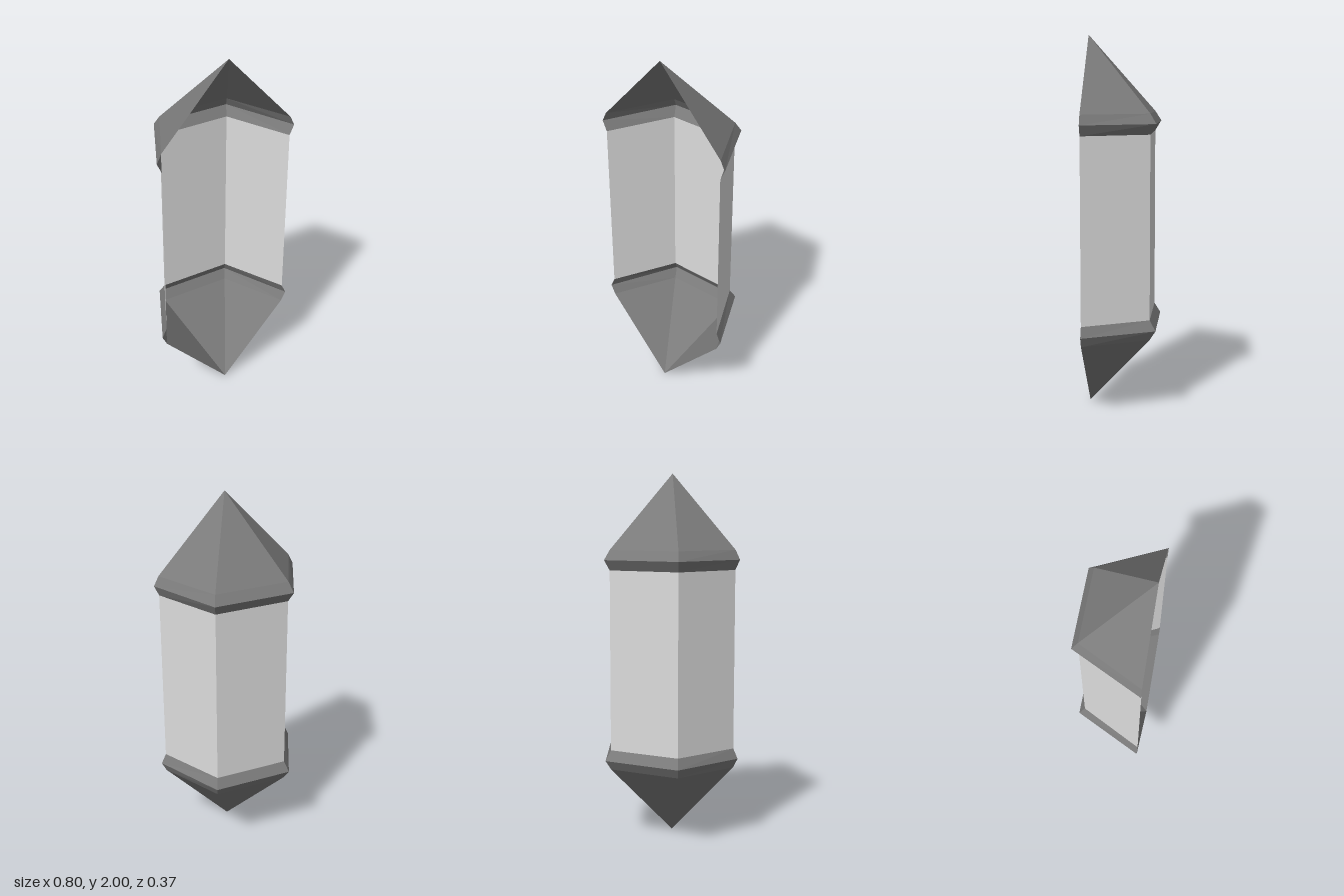
import * as THREE from 'three';

const FRONT = 0.187; // z of the open front edge

// One cross-section: half a hexagon, from the left front edge round the back
function ring(y, frontX, backX, backZ) {
  return [[frontX, y, FRONT], [backX, y, backZ], [-backX, y, backZ], [-frontX, y, FRONT]];
}
const wide = (y) => ring(y, 0.4, 0.218, -0.187);
const narrow = (y) => ring(y, 0.374, 0.202, -0.155);
const tip = (y) => ring(y, 0, 0, FRONT);

// Flat-sided open shell through a list of sections, bottom to top
function shell(name, sections, material) {
  const pos = [];
  const same = (p, q) => p.every((v, k) => v === q[k] || Math.abs(v - q[k]) < 1e-6);
  const tri = (a, b, c) => {
    if (!same(a, b) && !same(b, c) && !same(a, c)) pos.push(...a, ...b, ...c);
  };
  for (let s = 0; s < sections.length - 1; s++) {
    const lo = sections[s], hi = sections[s + 1];
    for (let i = 0; i < 3; i++) {
      tri(lo[i], lo[i + 1], hi[i + 1]);
      tri(lo[i], hi[i + 1], hi[i]);
    }
  }
  const geometry = new THREE.BufferGeometry();
  geometry.setAttribute('position', new THREE.Float32BufferAttribute(pos, 3));
  geometry.computeVertexNormals();
  const mesh = new THREE.Mesh(geometry, material);
  mesh.name = name;
  return mesh;
}

export function createModel() {
  const paleGrey = new THREE.MeshStandardMaterial({ color: 0xdcdcdc, side: THREE.DoubleSide, flatShading: true });
  paleGrey.name = 'pale grey';
  const darkGrey = new THREE.MeshStandardMaterial({ color: 0x7b7b7b, side: THREE.DoubleSide, flatShading: true });
  darkGrey.name = 'dark grey';

  const group = new THREE.Group();
  group.name = 'halfCrystal';
  group.add(
    // Pointed caps, each with a bevelled rim
    shell('lowerCap', [tip(0), narrow(0.405), wide(0.457), narrow(0.512)], darkGrey),
    shell('upperCap', [narrow(1.488), wide(1.543), narrow(1.595), tip(2)], darkGrey),
    // Straight walls between the rims
    shell('shaft', [narrow(0.512), narrow(1.488)], paleGrey)
  );
  return group;
}
